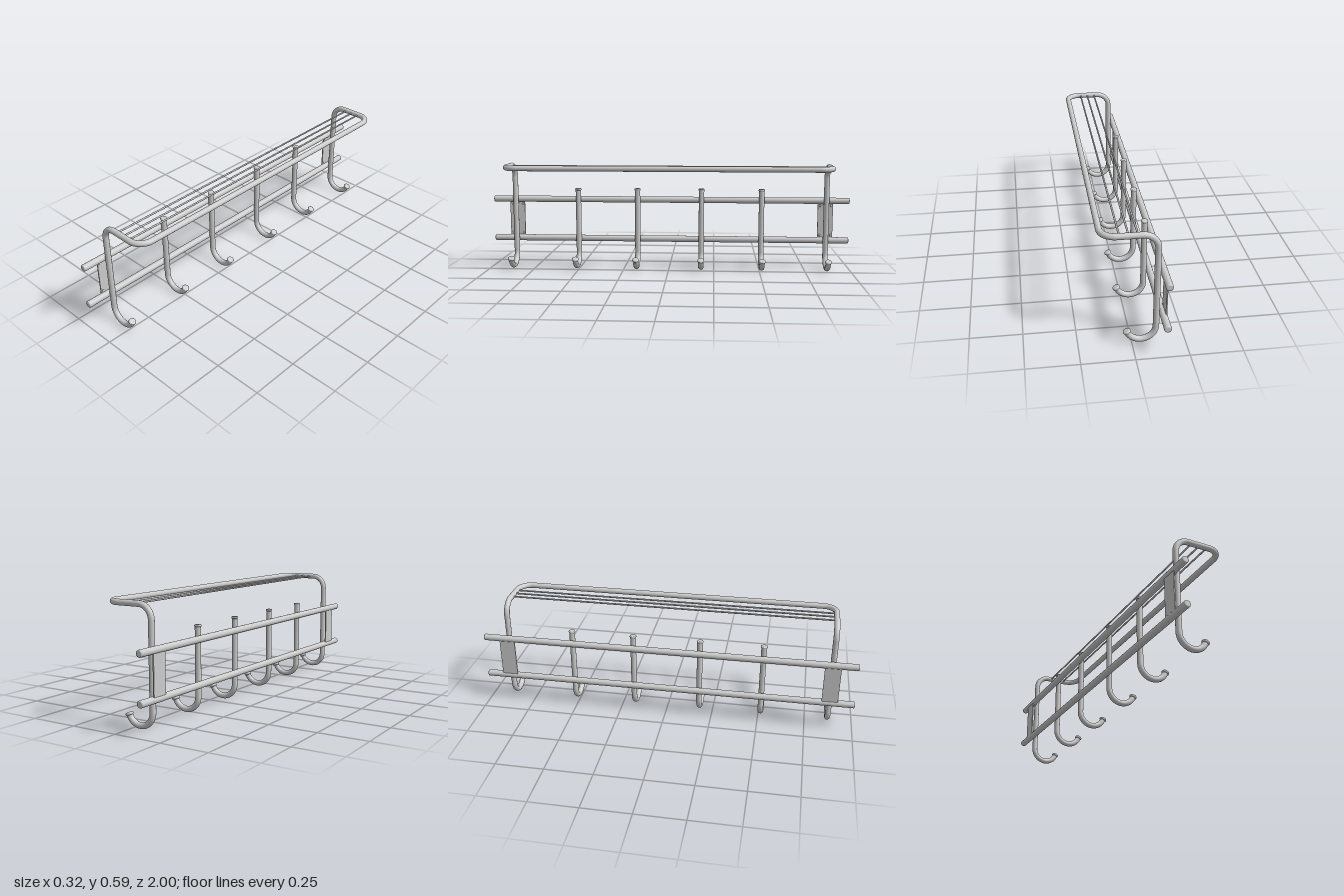
import * as THREE from 'three';
import { mergeGeometries } from 'three/addons/utils/BufferGeometryUtils.js';

const V = (x, y, z) => new THREE.Vector3(x, y, z);
const TUBE_R = 0.015, BEND = 0.07;
const POST_X = -0.113, RAIL_X = -0.143, SHELF_X = 0.143, SHELF_Y = 0.575;
const FRAME_Z = 0.87, HOOK_Y = 0.086, TIP = -25 * Math.PI / 180;

// Circular arc through the plane spanned by unit vectors u and v
class Arc extends THREE.Curve {
  constructor(center, u, v, a0, a1) {
    super();
    Object.assign(this, { center, u, v, a0, a1 });
  }
  getPoint(t, target = new THREE.Vector3()) {
    const a = this.a0 + (this.a1 - this.a0) * t;
    return target.copy(this.center)
      .addScaledVector(this.u, BEND * Math.cos(a))
      .addScaledVector(this.v, BEND * Math.sin(a));
  }
}

export function createModel() {
  const group = new THREE.Group();
  group.name = 'coatRack';
  const metal = new THREE.MeshStandardMaterial({ color: 0xcccccc });

  const add = (name, geometry, x = 0, y = 0, z = 0, parent = group) => {
    const mesh = new THREE.Mesh(geometry, metal);
    mesh.name = name;
    mesh.position.set(x, y, z);
    parent.add(mesh);
    return mesh;
  };
  const line = (a, b) => new THREE.TubeGeometry(new THREE.LineCurve3(a, b), 1, TUBE_R, 20);
  const bend = (...args) => new THREE.TubeGeometry(new Arc(...args), 18, TUBE_R, 20);

  // Solid of revolution about y with softly rounded rims
  const roundedRod = (r, length, e, sides = 24) => {
    const h = length / 2, pts = [new THREE.Vector2(0, -h)];
    for (const s of [-1, 1]) {
      for (let i = 0; i <= 5; i++) {
        const a = (s < 0 ? i - 5 : i) / 5 * Math.PI / 2;
        pts.push(new THREE.Vector2(r - e + e * Math.cos(a), s * (h - e) + e * Math.sin(a)));
      }
    }
    pts.push(new THREE.Vector2(0, h));
    return new THREE.LatheGeometry(pts, sides);
  };

  // Post with a curled hook at its foot
  const X = V(1, 0, 0), Y = V(0, 1, 0);
  const capGeo = roundedRod(0.019, 0.015, 0.007);
  const hookGeo = top => mergeGeometries([
    line(V(POST_X, top, 0), V(POST_X, HOOK_Y, 0)),
    bend(V(POST_X + BEND, HOOK_Y, 0), X, Y, -Math.PI, TIP),
  ]);
  const addHook = (name, z, top) => {
    const hook = new THREE.Group();
    hook.name = name;
    hook.position.z = z;
    group.add(hook);
    add('hookTube', hookGeo(top), 0, 0, 0, hook);
    const tip = add('hookTipCap', capGeo,
      POST_X + BEND + BEND * Math.cos(TIP) + 0.003, HOOK_Y + BEND * Math.sin(TIP) + 0.007, 0, hook);
    tip.rotation.z = TIP;
    return hook;
  };

  // Four free hooks with capped tops
  for (const z of [-0.513, -0.179, 0.179, 0.513]) {
    const hook = addHook('hook', z, 0.438);
    add('hookTopCap', roundedRod(0.0175, 0.012, 0.005), POST_X, 0.438, 0, hook);
  }

  // Shelf frame: end posts continue into one bent loop
  const frameParts = [line(V(SHELF_X, SHELF_Y, -FRAME_Z + BEND), V(SHELF_X, SHELF_Y, FRAME_Z - BEND))];
  for (const s of [-1, 1]) {
    const z = s * FRAME_Z;
    addHook('endPost', z, SHELF_Y - BEND);
    frameParts.push(
      bend(V(POST_X + BEND, SHELF_Y - BEND, z), X, Y, Math.PI, Math.PI / 2),
      line(V(POST_X + BEND, SHELF_Y, z), V(SHELF_X - BEND, SHELF_Y, z)),
      bend(V(SHELF_X - BEND, SHELF_Y, z - s * BEND), X, V(0, 0, s), Math.PI / 2, 0),
    );
  }
  add('shelfFrame', mergeGeometries(frameParts));

  // Thin shelf wires
  for (const x of [-0.022, 0.02, 0.061]) {
    add('shelfWire', new THREE.CylinderGeometry(0.0045, 0.0045, 2 * FRAME_Z, 10), x, SHELF_Y, 0)
      .rotation.x = Math.PI / 2;
  }

  // Long wall rails
  for (const y of [0.155, 0.378]) {
    add('rail', roundedRod(0.0175, 2, 0.006), RAIL_X, y, 0).rotation.x = Math.PI / 2;
  }

  // Wall plates with screw heads
  for (const s of [-1, 1]) {
    add('wallPlate', new THREE.BoxGeometry(0.006, 0.222, 0.084), -0.152, 0.266, s * FRAME_Z);
    for (const y of [0.183, 0.349]) {
      for (const dz of [-0.031, 0.031]) {
        const screw = add('screwHead', new THREE.SphereGeometry(0.006, 12, 8), -0.149, y, s * FRAME_Z + dz);
        screw.scale.x = 0.6;
      }
    }
  }
  return group;
}
